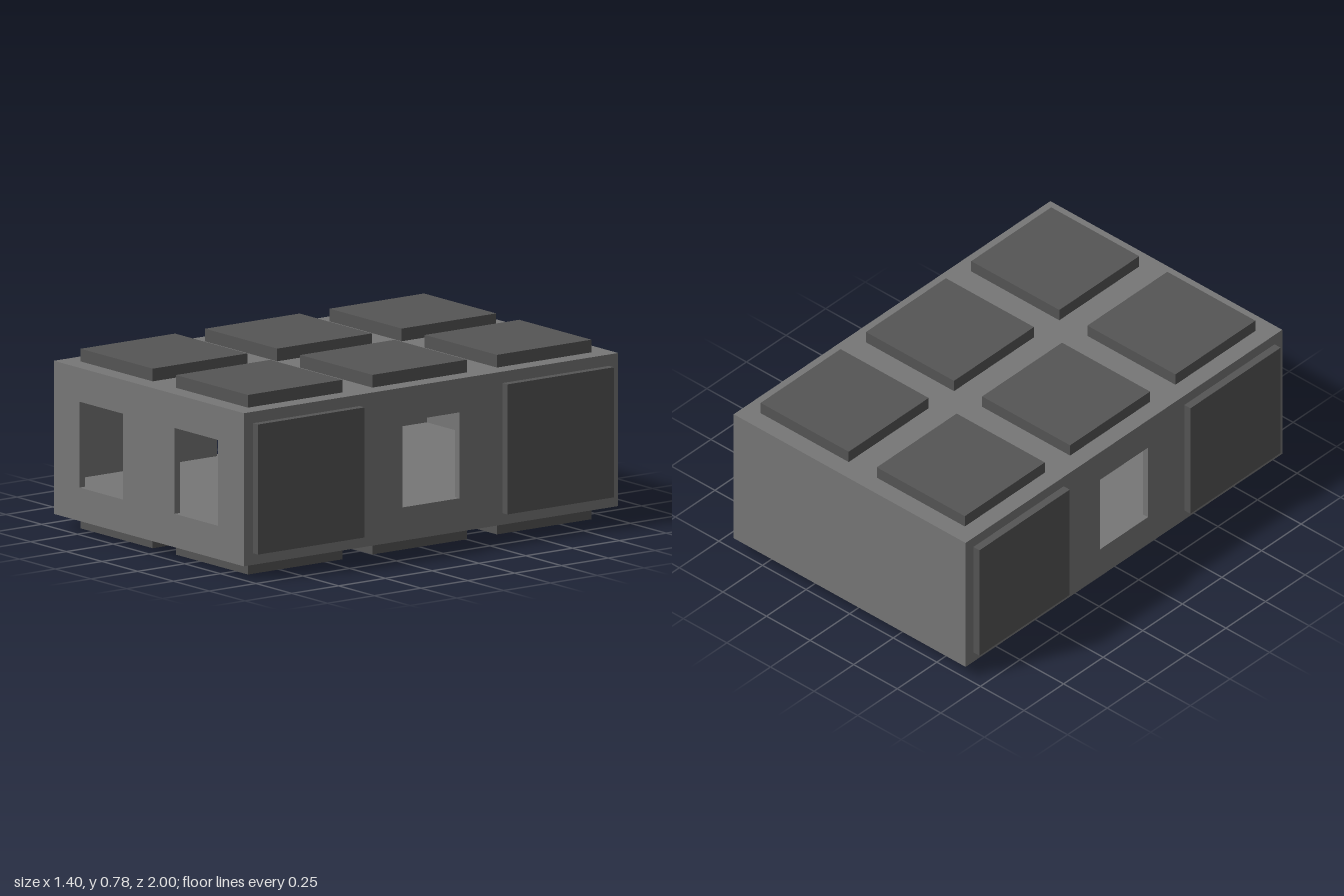
import * as THREE from 'three';
import { mergeGeometries } from 'three/addons/utils/BufferGeometryUtils.js';

const X = 0.665, Z = 1;            // half width and half length of the hull
const Y0 = 0.06, Y1 = 0.725;       // hull bottom and top
const W0 = 0.205, W1 = 0.578;      // window sill and lintel, also room floor and ceiling
const XI = X - 0.03, ZI = Z - 0.03; // inner faces of the walls
const FA = 0.18, FB = 0.485;       // front window, inner and outer edge
const SW = 0.152;                  // side window half width

// flat rectangle, u from -hw to hw, v from v0 to v1, with window holes [u0, u1]
function face(hw, v0, v1, windows = []) {
  const rect = (P, a, b, c, d) => {
    const p = new P();
    p.moveTo(a, c); p.lineTo(b, c); p.lineTo(b, d); p.lineTo(a, d); p.closePath();
    return p;
  };
  const s = rect(THREE.Shape, -hw, hw, v0, v1);
  for (const [a, b] of windows) s.holes.push(rect(THREE.Path, a, b, W0, W1));
  return new THREE.ShapeGeometry(s);
}

// outer skin with the window openings
function hullSkin() {
  const side = [[-SW, SW]];
  return mergeGeometries([
    face(X, Y0, Y1, [[-FB, -FA], [FA, FB]]).translate(0, 0, Z),
    face(X, Y0, Y1).rotateY(Math.PI).translate(0, 0, -Z),
    face(Z, Y0, Y1, side).rotateY(Math.PI / 2).translate(X, 0, 0),
    face(Z, Y0, Y1, side).rotateY(-Math.PI / 2).translate(-X, 0, 0),
    face(X, -Z, Z).rotateX(-Math.PI / 2).translate(0, Y1, 0),
    face(X, -Z, Z).rotateX(Math.PI / 2).translate(0, Y0, 0),
  ]);
}

// hollow room: floor plan with notches that run out through the windows
function roomLining() {
  const half = [
    [FA, ZI], [FA, Z], [FB, Z], [FB, ZI], [XI, ZI], [XI, SW],
    [X, SW], [X, -SW], [XI, -SW], [XI, -ZI],
  ];
  const plan = [...half, ...half.map(([x, z]) => [-x, z]).reverse()];
  const shape = (k) => new THREE.Shape(plan.map(([x, z]) => new THREE.Vector2(x, k * z)));
  const parts = [
    new THREE.ShapeGeometry(shape(-1)).rotateX(-Math.PI / 2).translate(0, W0, 0),
    new THREE.ShapeGeometry(shape(1)).rotateX(Math.PI / 2).translate(0, W1, 0),
  ];
  plan.forEach(([ax, az], i) => {
    const [bx, bz] = plan[(i + 1) % plan.length];
    // leave the openings themselves free
    if ((az === Z && bz === Z) || (Math.abs(ax) === X && ax === bx)) return;
    const dx = bx - ax, dz = bz - az;
    parts.push(new THREE.PlaneGeometry(Math.hypot(dx, dz), W1 - W0)
      .rotateY(Math.atan2(dz, -dx))
      .translate((ax + bx) / 2, (W0 + W1) / 2, (az + bz) / 2));
  });
  return mergeGeometries(parts);
}

export function createModel() {
  const model = new THREE.Group();
  model.name = 'blockHouse';
  const bodyMat = new THREE.MeshStandardMaterial({ color: 0x777777 });
  const plateMat = new THREE.MeshStandardMaterial({ color: 0x555555 });

  const add = (name, geometry, material) => {
    const mesh = new THREE.Mesh(geometry, material);
    mesh.name = name;
    model.add(mesh);
    return mesh;
  };

  add('hull', hullSkin(), bodyMat);
  add('room', roomLining(), bodyMat);

  // raised plates: 2 x 3 on the roof and underneath, two on each side
  const slab = new THREE.BoxGeometry(0.505, 0.06, 0.505);
  const sidePlate = new THREE.BoxGeometry(0.04, 0.565, 0.57);
  for (const sx of [-1, 1]) {
    for (const z of [-0.665, 0, 0.665]) {
      add('roofPlate', slab, plateMat).position.set(sx * 0.333, 0.75, z);
      add('footPlate', slab, plateMat).position.set(sx * 0.333, 0.03, z);
    }
    for (const sz of [-1, 1]) {
      add('sidePlate', sidePlate, plateMat).position.set(sx * 0.68, 0.393, sz * 0.666);
    }
  }
  return model;
}
